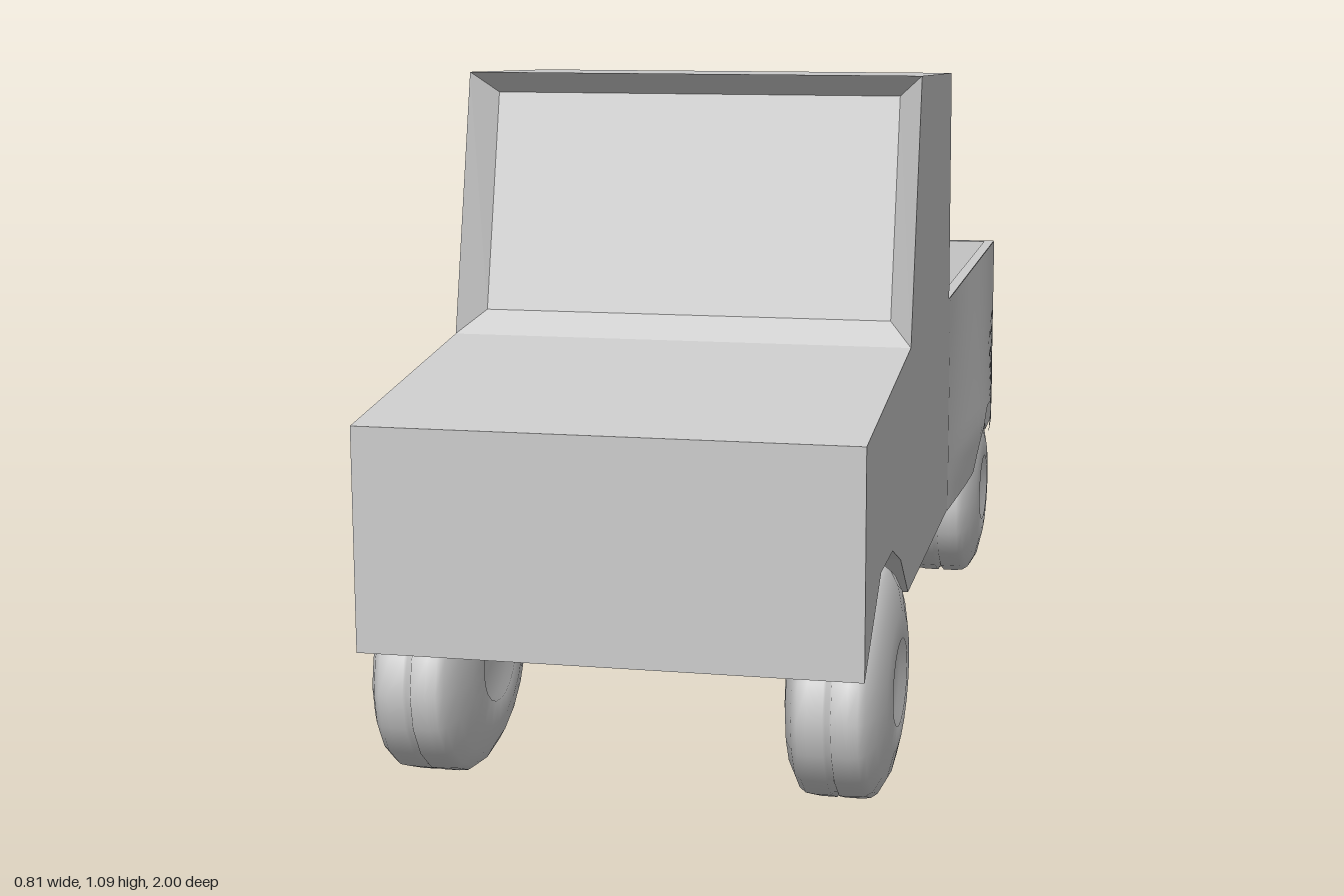
import * as THREE from 'three';
import { mergeGeometries } from 'three/addons/utils/BufferGeometryUtils.js';

const L = 0.375, R = -0.39;            // left and right body sides
const WELL_L = 0.22, WELL_R = -0.225;  // inner walls of the wheel wells
const material = new THREE.MeshStandardMaterial({ color: 0xcccccc, side: THREE.DoubleSide });

function quad(a, b, c, d) {
  const g = new THREE.BufferGeometry();
  g.setAttribute('position', new THREE.Float32BufferAttribute([a, b, c, a, c, d].flat(), 3));
  g.computeVertexNormals();
  return g;
}

// Quad spanning two (z, y) points between x0 and x1
const strip = (p, q, x0 = R, x1 = L) =>
  quad([x0, p[1], p[0]], [x1, p[1], p[0]], [x1, q[1], q[0]], [x0, q[1], q[0]]);

// Four quads joining two rectangular corner loops
const frame = (outer, inner) => outer.map((p, i) => {
  const j = (i + 1) % 4;
  return quad(p, outer[j], inner[j], inner[i]);
});

// Horizontal rectangle as a corner loop
const rect = (x0, x1, z0, z1, y) => [[x0, y, z1], [x1, y, z1], [x1, y, z0], [x0, y, z0]];

// Flat panel in the (z, y) plane at the given x
function sidePanel(points, x) {
  const shape = new THREE.Shape(points.map(([z, y]) => new THREE.Vector2(z, y)));
  return new THREE.ShapeGeometry(shape).rotateY(-Math.PI / 2).translate(x, 0, 0).toNonIndexed();
}

function add(group, name, geometries) {
  geometries.forEach(g => g.deleteAttribute('uv'));
  const mesh = new THREE.Mesh(mergeGeometries(geometries), material);
  mesh.name = name;
  group.add(mesh);
  return mesh;
}

function wheelGeometry() {
  // Recessed hub, domed side wall, grooved tread, mirrored to the inner face
  const half = [[0, 0.068], [0.37, 0.068], [0.38, 0.08], [0.6, 0.077], [0.82, 0.068],
    [0.95, 0.055], [0.99, 0.045], [1, 0.03], [1, 0.006], [0.97, 0.003]];
  const profile = [...half.map(([r, x]) => [r, -x]), ...half.slice().reverse()]
    .map(([r, x]) => new THREE.Vector2(r, x));
  const g = new THREE.LatheGeometry(profile, 20);
  return g.rotateZ(-Math.PI / 2).scale(1, 0.175, 0.22);
}

export function createModel() {
  const truck = new THREE.Group();
  truck.name = 'pickupTruck';

  // Side outline, nose to tail, then back along the arched bottom edge
  const top = [[0.995, 0.595], [0.5, 0.655], [0.395, 1.085], [-0.055, 1.07], [-0.07, 0.655], [-1, 0.655]];
  const arch = [[0.5, 0.25], [0.6, 0.33], [0.7, 0.37], [0.83, 0.37], [0.995, 0.25]];
  const rearArch = [[-0.87, 0.25], [-0.8, 0.33], [-0.69, 0.37], [-0.56, 0.37], [-0.46, 0.33], [-0.38, 0.25]];
  const outline = [...top, [-1, 0.25], ...rearArch, ...arch];

  add(truck, 'bodySides', [sidePanel(outline, L), sidePanel(outline, R)]);
  add(truck, 'noseAndBonnet', [strip([0.995, 0.25], top[0]), strip(top[0], top[1])]);
  add(truck, 'cabRoof', [strip(top[2], top[3])]);
  add(truck, 'cabBack', [strip(top[3], top[4])]);
  add(truck, 'tailgate', [strip(top[5], [-1, 0.25])]);

  // Windscreen set back inside a bevelled frame
  const pane = [[-0.35, 0.69, 0.45], [0.335, 0.69, 0.45], [0.335, 1.05, 0.36], [-0.35, 1.05, 0.36]];
  const opening = [[R, 0.655, 0.5], [L, 0.655, 0.5], [L, 1.085, 0.395], [R, 1.085, 0.395]];
  add(truck, 'windscreenFrame', frame(opening, pane));
  add(truck, 'windscreen', [quad(...pane)]);

  // Open cargo bed: rim, sloped inner walls and floor
  const rimOuter = rect(R, L, -1, -0.07, 0.655);
  const rimInner = rect(-0.37, 0.355, -0.98, -0.095, 0.655);
  const floor = rect(-0.345, 0.33, -0.96, -0.115, 0.42);
  add(truck, 'bedRim', frame(rimOuter, rimInner));
  add(truck, 'bedWalls', frame(rimInner, floor));
  add(truck, 'bedFloor', [quad(...floor)]);

  // Underside and wheel wells
  const bottom = [[-1, 0.25], ...rearArch, ...arch];
  const under = [strip([-1, 0.25], [0.995, 0.25], WELL_R, WELL_L)];
  for (const [wall, side] of [[WELL_L, L], [WELL_R, R]]) {
    for (let i = 0; i < bottom.length - 1; i++) under.push(strip(bottom[i], bottom[i + 1], wall, side));
    under.push(sidePanel(arch, wall), sidePanel(rearArch, wall));
  }
  add(truck, 'underside', under);

  // Bulged rear left wing, its lower edge following the wheel
  const wing = new THREE.PlaneGeometry(1, 1, 32, 12);
  const pos = wing.attributes.position;
  for (let i = 0; i < pos.count; i++) {
    const t = 0.5 - pos.getX(i), v = pos.getY(i) + 0.5;
    const z = -0.08 - 0.92 * t;
    const d = Math.min(1, Math.abs(z + 0.625) / 0.22);
    const low = Math.max(0.25, 0.178 + 0.175 * Math.sqrt(1 - d * d));
    const y = low + (0.655 - low) * v;
    const rise = y > 0.33 ? (0.655 - y) / 0.325 : 1 - (0.33 - y) * 5;
    pos.setXYZ(i, L + 0.001 + 0.029 * Math.sin(Math.PI * t) * rise, y, z);
  }
  wing.computeVertexNormals();
  add(truck, 'rearLeftWing', [wing]);

  // Wheels
  const wheel = wheelGeometry();
  for (const [end, z] of [['front', 0.745], ['rear', -0.625]]) {
    for (const [side, x] of [['Left', 0.315], ['Right', -0.325]]) {
      const mesh = add(truck, `${end}${side}Wheel`, [wheel.clone()]);
      mesh.position.set(x, 0.175, z);
    }
  }
  return truck;
}
